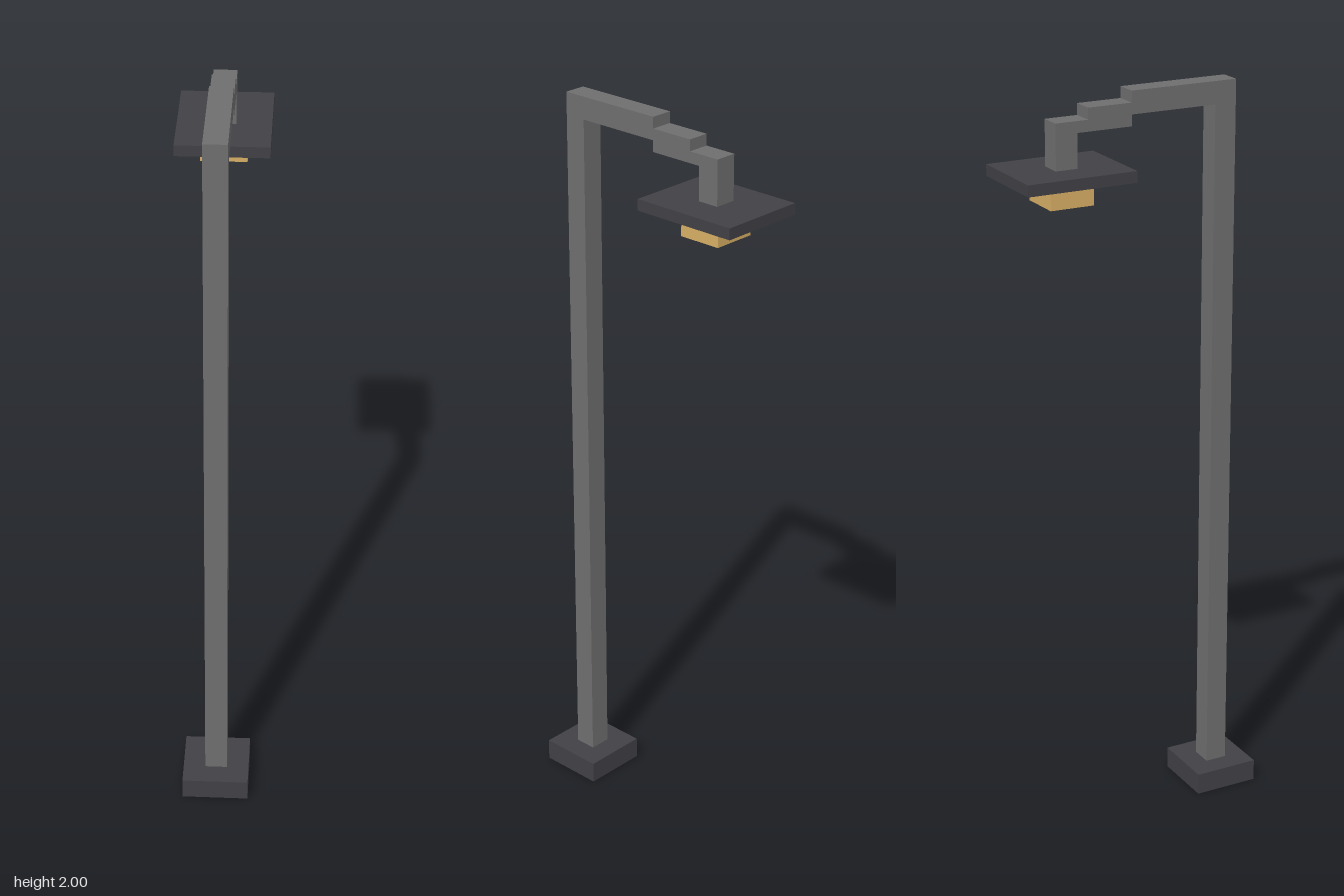
import * as THREE from 'three';

export function createModel() {
  const model = new THREE.Group();
  model.name = 'streetLamp';

  const makeMaterial = (name, color) => {
    const material = new THREE.MeshStandardMaterial({ color });
    material.name = name;
    return material;
  };
  const steel = makeMaterial('grey steel', 0x6e6e6e);
  const iron = makeMaterial('dark iron', 0x414045);
  const glow = makeMaterial('warm lamp', 0xd6ae64);

  // Box centred on x = 0, given its width and its y and z ranges
  const addBox = (name, material, width, y0, y1, z0, z1) => {
    const mesh = new THREE.Mesh(new THREE.BoxGeometry(width, y1 - y0, z1 - z0), material);
    mesh.name = name;
    mesh.position.set(0, (y0 + y1) / 2, (z0 + z1) / 2);
    model.add(mesh);
  };

  // Foot and post
  addBox('base', iron, 0.18, 0, 0.06, 0.166, 0.346);
  addBox('post', steel, 0.06, 0.06, 1.94, 0.226, 0.286);

  // Arm stepping down towards the back
  addBox('upperArm', steel, 0.06, 1.94, 2, -0.014, 0.286);
  addBox('middleArm', steel, 0.06, 1.91, 1.97, -0.136, -0.014);
  addBox('lowerArm', steel, 0.06, 1.91, 1.94, -0.226, -0.136);
  addBox('hanger', steel, 0.06, 1.82, 1.91, -0.226, -0.166);

  // Lamp head
  addBox('shade', iron, 0.24, 1.79, 1.82, -0.346, -0.046);
  addBox('lamp', glow, 0.12, 1.73, 1.79, -0.256, -0.136);

  return model;
}
